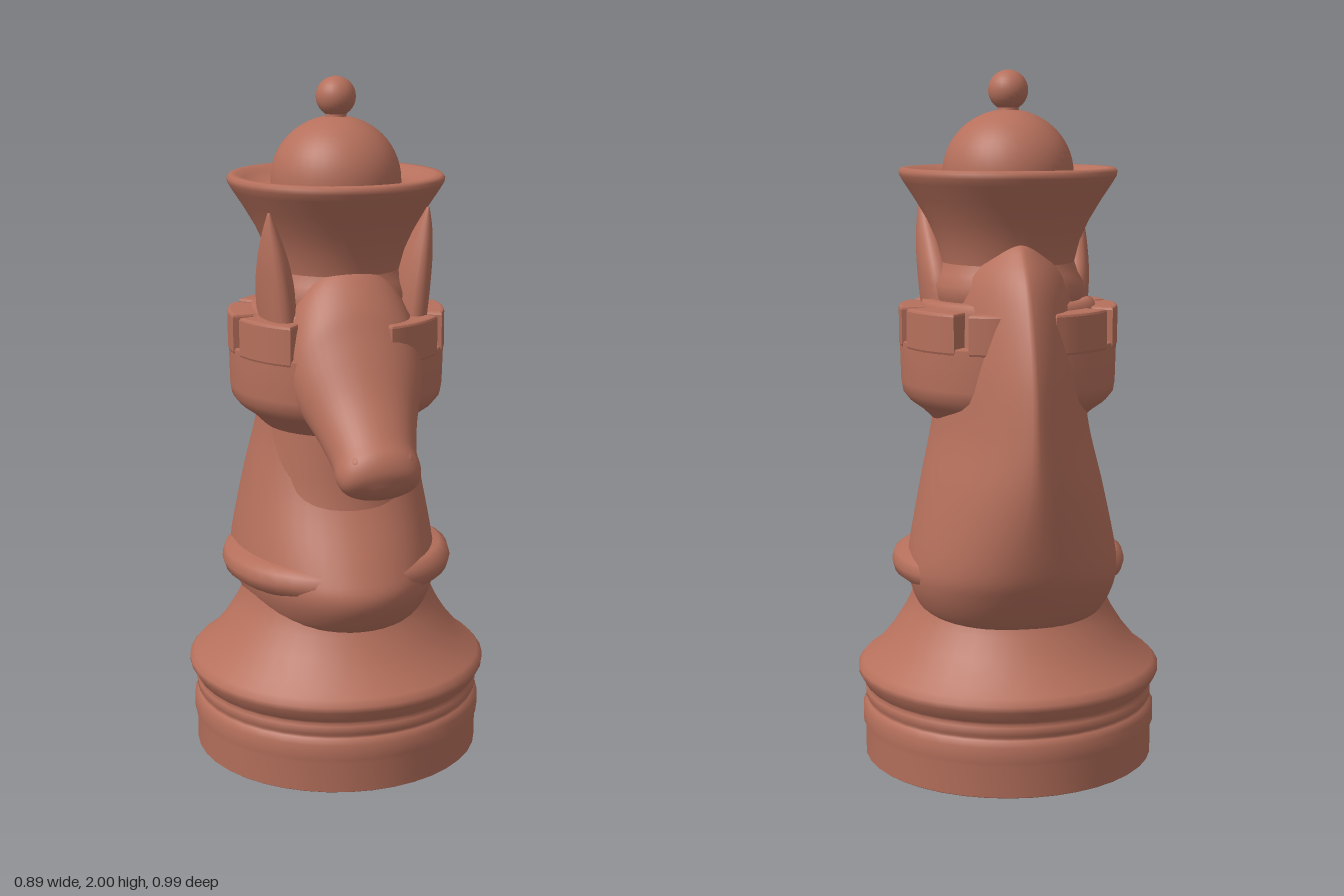
import * as THREE from 'three';

const AXIS_Z = -0.035; // turned parts share this axis
const clay = new THREE.MeshStandardMaterial({ color: 0xb6705c });
clay.name = 'clay';

function add(parent, name, geometry) {
  const mesh = new THREE.Mesh(geometry, clay);
  mesh.name = name;
  parent.add(mesh);
  return mesh;
}

function turned(parent, name, profile) {
  const mesh = add(parent, name, new THREE.LatheGeometry(profile.map(([r, y]) => new THREE.Vector2(r, y)), 40));
  mesh.position.z = AXIS_Z;
  return mesh;
}

// Smoothly interpolates a short list of section rows
function smoothRows(rows, steps) {
  const size = rows[0].length;
  const curve = new THREE.CubicInterpolant(rows.map((_, i) => i), rows.flat(), size);
  const out = [];
  for (let i = 0; i <= steps; i++) out.push(Array.from(curve.evaluate((i / steps) * (rows.length - 1))));
  return out;
}

// Closed skin through rings; point(row, angle) gives [x, y, z]
function loft(rows, point, n = 40) {
  const positions = [], index = [];
  const centres = [0, rows.length - 1].map(() => new THREE.Vector3());
  rows.forEach((row, i) => {
    for (let j = 0; j < n; j++) {
      const p = point(row, (j / n) * Math.PI * 2);
      positions.push(...p);
      if (i === 0) centres[0].add(new THREE.Vector3(...p));
      if (i === rows.length - 1) centres[1].add(new THREE.Vector3(...p));
      const k = (j + 1) % n;
      if (i < rows.length - 1) {
        const a = i * n + j, b = a + n, c = i * n + k, d = c + n;
        index.push(a, b, c, b, d, c);
      }
    }
  });
  const last = (rows.length - 1) * n, c0 = rows.length * n;
  centres.forEach(c => positions.push(...c.divideScalar(n).toArray()));
  for (let j = 0; j < n; j++) {
    const k = (j + 1) % n;
    index.push(c0, j, k, c0 + 1, last + k, last + j);
  }
  const g = new THREE.BufferGeometry();
  g.setAttribute('position', new THREE.Float32BufferAttribute(positions, 3));
  g.setIndex(index);
  g.computeVertexNormals();
  return g;
}

export function createModel() {
  const model = new THREE.Group();
  model.name = 'chessPiece';

  // Stepped base with a flared foot
  turned(model, 'base', [
    [0, 0], [0.42, 0], [0.425, 0.004], [0.425, 0.09], [0.432, 0.105], [0.432, 0.15], [0.42, 0.167],
    [0.413, 0.172], [0.424, 0.182], [0.424, 0.205], [0.413, 0.211], [0.425, 0.222], [0.444, 0.255], [0.445, 0.272],
    [0.43, 0.29], [0.39, 0.32], [0.345, 0.375], [0.31, 0.43], [0.285, 0.48], [0.275, 0.53],
  ]);

  // Inner column and the collar around it
  turned(model, 'column', [
    [0.27, 0.5], [0.262, 0.65], [0.235, 0.78], [0.217, 0.87], [0.215, 1.02], [0.2, 1.2],
    [0.2, 1.34], [0.215, 1.36], [0.218, 1.4], [0.2, 1.43], [0.19, 1.46],
  ]);
  turned(model, 'collar', [
    [0.26, 0.535], [0.31, 0.542], [0.334, 0.56], [0.342, 0.587], [0.334, 0.615], [0.31, 0.631], [0.26, 0.635],
  ]);

  // Neck and mane: rows of y, front z, back z, half width, widest z, back sharpness
  const neckRows = smoothRows([
    [0.43, 0.24, -0.29, 0.22, -0.06, 0.9], [0.46, 0.29, -0.345, 0.265, -0.08, 0.9],
    [0.55, 0.335, -0.405, 0.3, -0.1, 0.9], [0.64, 0.295, -0.445, 0.298, -0.1, 0.95],
    [0.83, 0.175, -0.485, 0.262, -0.07, 1.2], [1.0, 0.12, -0.49, 0.225, -0.04, 1.45],
    [1.2, 0.14, -0.455, 0.2, -0.035, 1.55], [1.4, 0.13, -0.365, 0.17, -0.03, 1.5],
    [1.5, 0.08, -0.27, 0.1, -0.05, 1.3], [1.53, 0.0, -0.22, 0.03, -0.1, 1],
  ], 45);
  add(model, 'neckAndMane', loft(neckRows, ([y, front, back, w, mid, sharp], a) => {
    const c = Math.cos(a), s = Math.sin(a);
    const x = s >= 0 ? c : Math.sign(c) * Math.abs(c) ** sharp;
    return [w * x, y, mid + (s >= 0 ? (front - mid) * s : (mid - back) * s)];
  }, 48));

  // Head: rows of top z, top y, bottom z, bottom y, half width
  const headRows = smoothRows([
    [0.0, 1.49, -0.05, 1.05, 0.16], [0.13, 1.485, 0.08, 1.02, 0.185], [0.22, 1.4, 0.16, 1.0, 0.19],
    [0.28, 1.3, 0.205, 0.99, 0.177], [0.36, 1.17, 0.25, 0.965, 0.145], [0.44, 1.075, 0.32, 0.917, 0.12],
    [0.485, 1.03, 0.38, 0.888, 0.118], [0.5, 0.985, 0.43, 0.89, 0.095], [0.49, 0.94, 0.472, 0.915, 0.03],
  ], 36);
  add(model, 'head', loft(headRows, ([tz, ty, bz, by, w], a) => {
    const c = Math.cos(a), t = (1 + Math.sin(a)) / 2;
    return [w * c, ty + (by - ty) * t, tz + (bz - tz) * t];
  }));

  // Ears and nostrils; ear rows: x, y, z, x radius, z radius
  const earRows = smoothRows([
    [0.185, 1.26, 0.03, 0.05, 0.13], [0.197, 1.4, 0.04, 0.052, 0.12], [0.21, 1.5, 0.07, 0.042, 0.08],
    [0.222, 1.58, 0.098, 0.024, 0.036], [0.23, 1.642, 0.115, 0.004, 0.005],
  ], 16);
  for (const side of [-1, 1]) {
    const prefix = side > 0 ? 'left' : 'right';
    add(model, prefix + 'Ear', loft(earRows, ([x, y, z, rx, rz], a) =>
      [side * x + rx * Math.cos(a), y, z + rz * Math.sin(a)], 20));
    const nostril = add(model, prefix + 'Nostril', new THREE.SphereGeometry(0.032, 16, 12));
    nostril.position.set(side * 0.062, 1.0, 0.448);
  }

  // Battlement wall, inner rim and merlons
  turned(model, 'battlementWall', [
    [0.19, 0.99], [0.215, 1.005], [0.25, 1.04], [0.285, 1.065], [0.305, 1.09], [0.31, 1.12], [0.313, 1.235],
    [0.308, 1.24], [0.265, 1.24], [0.26, 1.24], [0.255, 1.33], [0.245, 1.352], [0.225, 1.358], [0.19, 1.35],
  ]);
  const merlons = new THREE.Group();
  merlons.name = 'merlons';
  merlons.position.set(0, 1.23, AXIS_Z);
  model.add(merlons);
  const arc = new THREE.Shape();
  const half = THREE.MathUtils.degToRad(17);
  arc.absarc(0, 0, 0.307, -half, half, false);
  arc.absarc(0, 0, 0.25, half, -half, true);
  const merlonShape = new THREE.ExtrudeGeometry(arc, {
    depth: 0.1, curveSegments: 10, bevelSize: 0.008, bevelThickness: 0.008, bevelSegments: 2,
  });
  merlonShape.rotateX(-Math.PI / 2);
  for (let k = 0; k < 7; k++) { // the eighth place is taken by the head
    const merlon = add(merlons, 'merlon', merlonShape);
    merlon.rotation.y = THREE.MathUtils.degToRad(33.5 + 45 * k - 90);
  }

  // Flared crown with a dished top
  turned(model, 'crown', [
    [0.185, 1.42], [0.19, 1.46], [0.205, 1.52], [0.232, 1.58], [0.268, 1.64], [0.298, 1.685], [0.31, 1.705],
    [0.312, 1.718], [0.304, 1.727], [0.285, 1.727], [0.262, 1.715], [0.235, 1.7], [0.2, 1.695], [0.15, 1.695],
  ]);

  // Dome, stem and finial ball
  const dome = [[0.187, 1.69]];
  for (let i = 0; i <= 14; i++) {
    const a = (i / 14) * Math.PI / 2;
    dome.push([0.187 * Math.cos(a), 1.71 + 0.18 * Math.sin(a)]);
  }
  turned(model, 'dome', dome);
  turned(model, 'stem', [[0.036, 1.87], [0.03, 1.89], [0.03, 1.92]]);
  const ball = add(model, 'finial', new THREE.SphereGeometry(0.057, 24, 16));
  ball.position.set(0, 1.943, AXIS_Z);

  return model;
}
